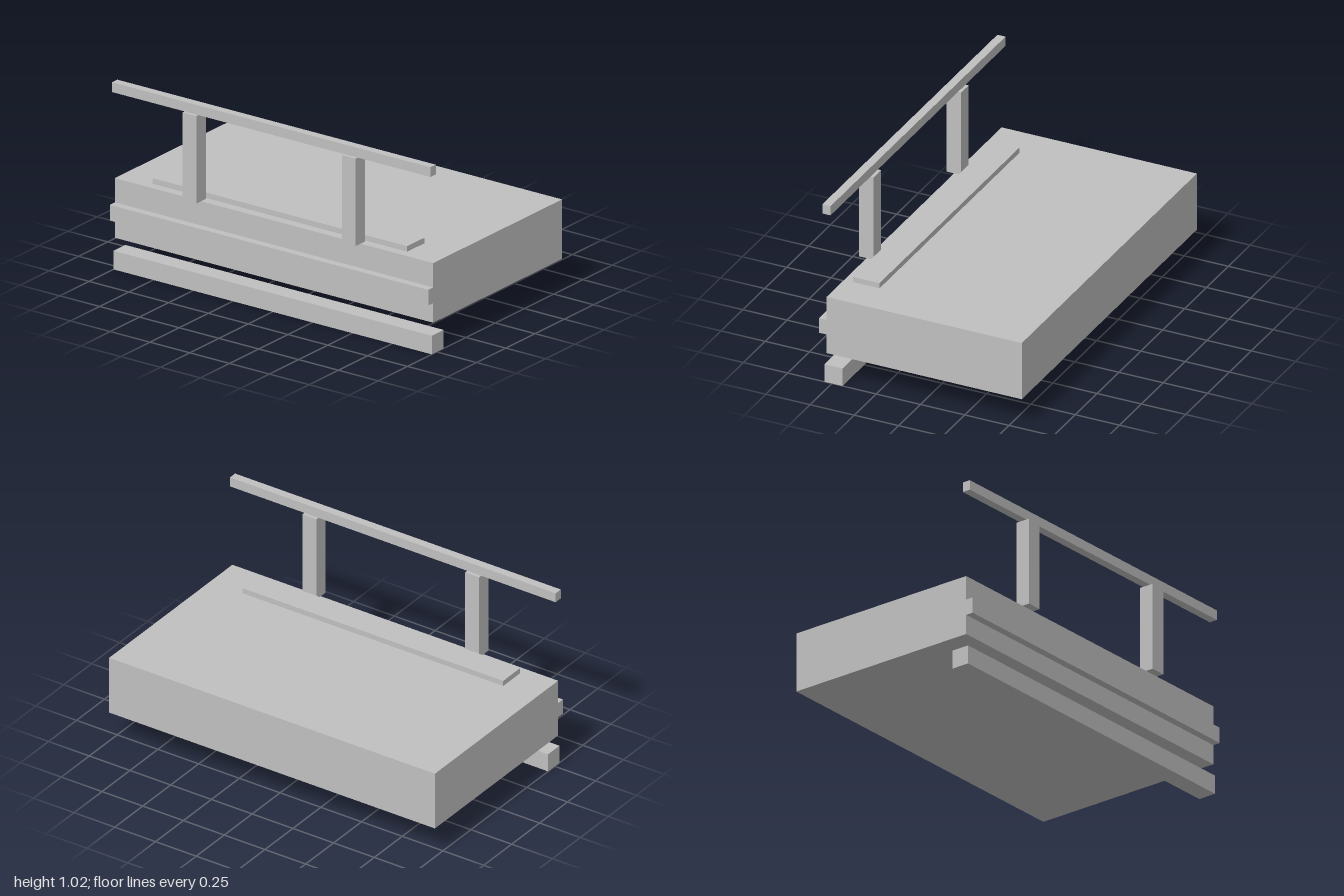
import * as THREE from 'three';

export function createModel() {
  const model = new THREE.Group();
  const grey = new THREE.MeshStandardMaterial({ color: 0xc0c0c0 });
  grey.name = 'light grey';

  // Box given by its x centre, width, and its y and z extents
  function addBox(name, x, width, [y0, y1], [z0, z1]) {
    const mesh = new THREE.Mesh(new THREE.BoxGeometry(width, y1 - y0, z1 - z0), grey);
    mesh.position.set(x, (y0 + y1) / 2, (z0 + z1) / 2);
    mesh.name = name;
    model.add(mesh);
  }

  // Main slab and the raised band along its front edge
  addBox('deckSlab', 0, 2, [0.168, 0.492], [-0.572, 0.53]);
  addBox('frontBand', 0, 2, [0.275, 0.36], [0.53, 0.572]);

  // Low strip on the deck behind the railing
  addBox('deckStrip', 0, 1.6, [0.492, 0.522], [0.33, 0.48]);

  // Railing: two posts and a full-width handrail
  for (const side of [-1, 1]) {
    addBox(side > 0 ? 'leftPost' : 'rightPost', side * 0.5, 0.086, [0.492, 0.967], [0.49, 0.572]);
  }
  addBox('handrail', 0, 2, [0.967, 1.02], [0.508, 0.554]);

  // Separate beam below the front edge
  addBox('lowerBeam', 0, 2, [0, 0.101], [0.44, 0.542]);

  return model;
}
